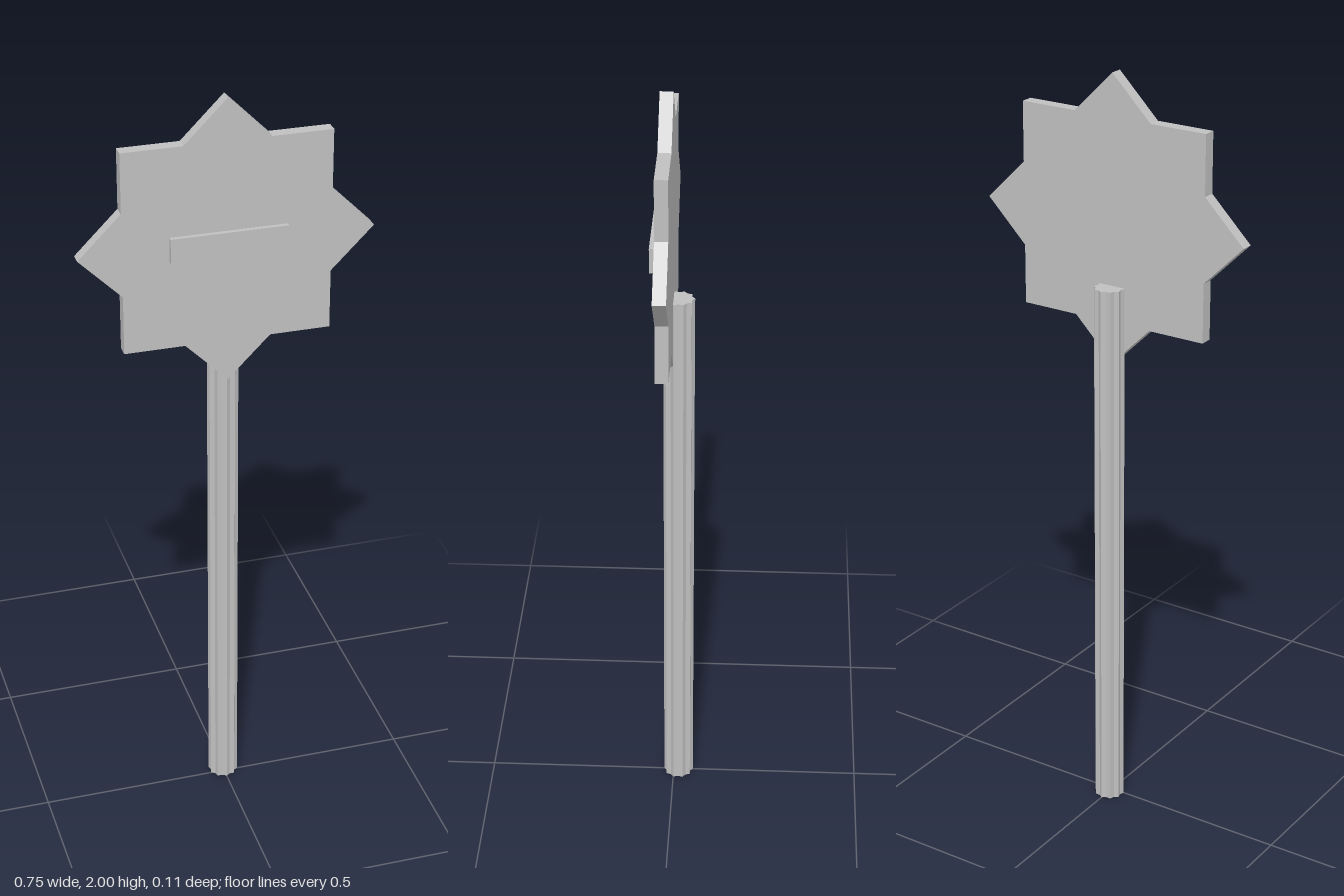
import * as THREE from 'three';

// Extruded star with its first point straight up
function starGeometry(points, outer, inner, depth) {
  const corners = [];
  for (let i = 0; i < points * 2; i++) {
    const a = Math.PI / 2 + (i * Math.PI) / points;
    const r = i % 2 ? inner : outer;
    corners.push(new THREE.Vector2(r * Math.cos(a), r * Math.sin(a)));
  }
  return new THREE.ExtrudeGeometry(new THREE.Shape(corners), { depth, bevelEnabled: false });
}

export function createModel() {
  const group = new THREE.Group();
  const grey = new THREE.MeshStandardMaterial({ color: 0xc0c0c0, flatShading: true });
  grey.name = 'light grey';

  function add(name, geometry, x, y, z) {
    const mesh = new THREE.Mesh(geometry, grey);
    mesh.name = name;
    mesh.position.set(x, y, z);
    group.add(mesh);
  }

  // Eight-pointed sign board
  add('signBoard', starGeometry(8, 0.373, 0.2855, 0.033), 0, 1.627, 0);

  // Raised bar floating just ahead of the board
  add('frontBar', new THREE.BoxGeometry(0.296, 0.064, 0.012), 0, 1.631, 0.046);

  // Post with the section of two crossed pentagons
  const post = starGeometry(10, 0.0395, 0.0336, 1.46);
  post.rotateX(-Math.PI / 2);
  add('post', post, 0, 0, -0.0135);

  return group;
}
